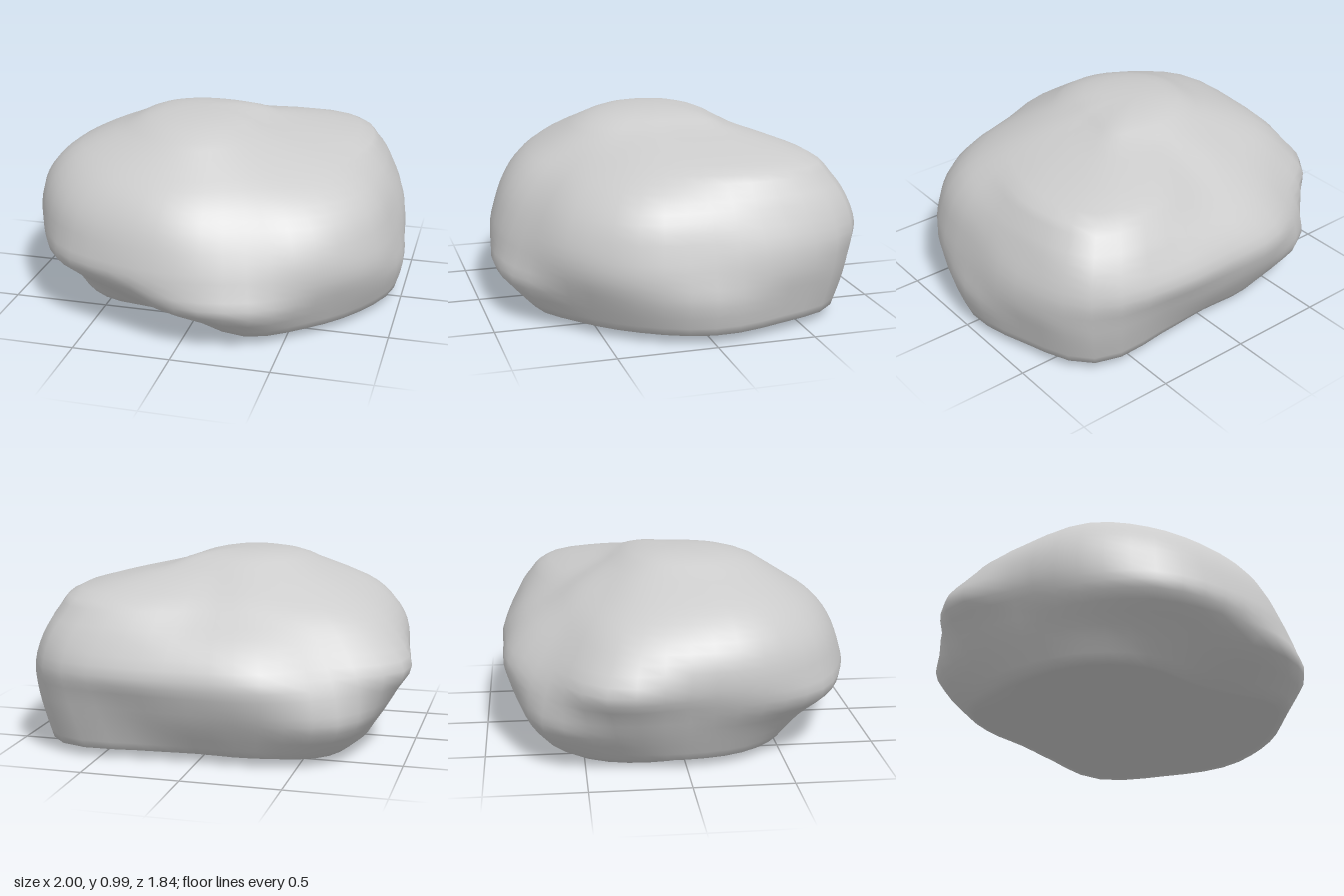
import * as THREE from 'three';
import { mergeVertices } from 'three/addons/utils/BufferGeometryUtils.js';

// Heights of the boulder's cross-sections
const LEVELS = [0.05, 0.2, 0.33, 0.46, 0.6, 0.72, 0.82, 0.92];

// Radius at each height, one profile every 22.5 degrees from +x towards +z
const PROFILES = [
  [0.96, 1.0, 0.98, 0.95, 0.9, 0.81, 0.66, 0.24],
  [0.89, 0.96, 0.99, 0.97, 0.92, 0.81, 0.6, 0.25],
  [0.84, 0.91, 0.95, 0.94, 0.87, 0.74, 0.54, 0.28],
  [0.82, 0.95, 0.92, 0.87, 0.79, 0.68, 0.53, 0.35],
  [0.62, 0.9, 0.92, 0.89, 0.83, 0.73, 0.58, 0.42],
  [0.6, 0.8, 0.92, 0.91, 0.86, 0.77, 0.63, 0.46],
  [0.7, 0.83, 0.97, 0.96, 0.92, 0.83, 0.69, 0.48],
  [0.75, 0.84, 0.93, 0.96, 0.94, 0.87, 0.74, 0.49],
  [0.76, 0.84, 0.9, 0.95, 0.93, 0.84, 0.69, 0.46],
  [0.79, 0.91, 0.99, 1.06, 0.96, 0.83, 0.65, 0.43],
  [0.84, 0.99, 0.99, 0.94, 0.84, 0.72, 0.56, 0.38],
  [0.77, 0.87, 0.93, 0.94, 0.83, 0.67, 0.53, 0.34],
  [0.71, 0.81, 0.87, 0.9, 0.82, 0.67, 0.52, 0.32],
  [0.79, 0.86, 0.92, 0.97, 0.9, 0.81, 0.67, 0.33],
  [1.0, 1.05, 1.08, 1.1, 1.06, 0.97, 0.84, 0.36],
  [0.96, 1.0, 1.03, 1.02, 0.96, 0.89, 0.77, 0.28],
];

const SEGMENTS = 48;
const STEPS = 3;

// Smooth interpolation through four neighbouring values
function cubic(a, b, c, d, t) {
  return b + 0.5 * t * (c - a + t * (2 * a - 5 * b + 4 * c - d + t * (3 * (b - c) + d - a)));
}

function sample(list, u, closed) {
  const n = list.length;
  const i = closed ? Math.floor(u) : Math.min(Math.floor(u), n - 2);
  const at = (k) => list[closed ? (k + n) % n : Math.min(Math.max(k, 0), n - 1)];
  return cubic(at(i - 1), at(i), at(i + 1), at(i + 2), u - i);
}

function ringPoint(level, segment) {
  const radii = PROFILES.map((profile) => sample(profile, level, false));
  const r = sample(radii, (segment / SEGMENTS) * PROFILES.length, true);
  const angle = (segment / SEGMENTS) * Math.PI * 2;
  return new THREE.Vector3(r * Math.cos(angle), sample(LEVELS, level, false), r * Math.sin(angle));
}

function boulderGeometry() {
  const rows = [];
  const segments = Array.from({ length: SEGMENTS }, (_, j) => j);

  // Underside: nearly flat, with a shallow bulge it rests on
  const base = segments.map((j) => ringPoint(0, j));
  for (const s of [0, 0.2, 0.4, 0.6, 0.8, 0.95]) {
    rows.push(base.map((p) => {
      const x = p.x * s, z = p.z * s;
      const d2 = (x + 0.48) ** 2 + (z + 0.3) ** 2;
      return new THREE.Vector3(x, 0.05 - 0.05 * Math.exp(-d2 / 0.1), z);
    }));
  }

  // Sides and shoulders
  for (let k = 0; k <= (LEVELS.length - 1) * STEPS; k++) {
    rows.push(segments.map((j) => ringPoint(k / STEPS, j)));
  }

  // Rounded summit, closing in on one point
  const rim = rows[rows.length - 1];
  const summit = new THREE.Vector3(-0.13, 0.99, 0);
  for (const t of [0.15, 0.3, 0.5, 0.75, 1]) {
    rows.push(rim.map((p) => {
      const q = p.clone().lerp(summit, t);
      q.y = summit.y - (summit.y - p.y) * (1 - t) ** 3;
      return q;
    }));
  }

  // Skin between neighbouring rings; the first and last rings are single points
  const positions = rows.flat().flatMap((p) => [p.x, p.y, p.z]);
  const index = [];
  for (let i = 0; i < rows.length - 1; i++) {
    for (let j = 0; j < SEGMENTS; j++) {
      const next = (j + 1) % SEGMENTS;
      const a = i * SEGMENTS + j, b = a + SEGMENTS;
      const c = i * SEGMENTS + next, d = c + SEGMENTS;
      if (i < rows.length - 2) index.push(a, b, d);
      else index.push(a, b, c);
      if (i > 0 && i < rows.length - 2) index.push(a, d, c);
    }
  }
  const geometry = new THREE.BufferGeometry();
  geometry.setAttribute('position', new THREE.Float32BufferAttribute(positions, 3));
  geometry.setIndex(index);
  const merged = mergeVertices(geometry, 1e-4);
  merged.computeVertexNormals();
  return merged;
}

export function createModel() {
  const group = new THREE.Group();
  group.name = 'rock';
  const boulder = new THREE.Mesh(boulderGeometry(), new THREE.MeshStandardMaterial({ color: 0xcccccc }));
  boulder.name = 'boulder';
  group.add(boulder);
  return group;
}
